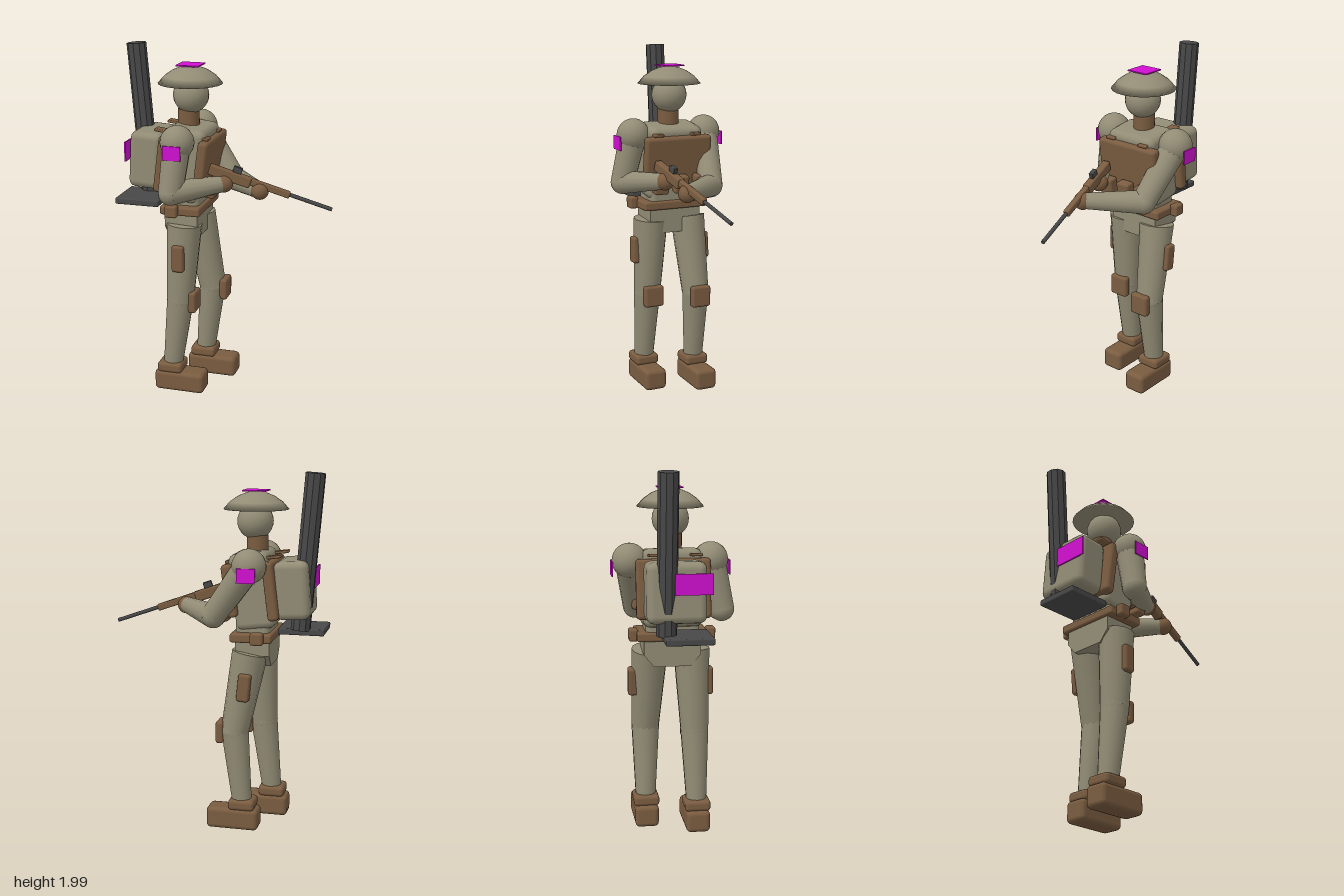
import * as THREE from 'three';
import { RoundedBoxGeometry } from 'three/addons/geometries/RoundedBoxGeometry.js';

const mat = (name, color) => Object.assign(new THREE.MeshStandardMaterial({ color }), { name });

export function createModel() {
  const olive = mat('olive cloth', 0x928c75);
  const brown = mat('brown leather', 0x7a5c40);
  const dark = mat('dark metal', 0x484848);
  const magenta = mat('magenta marker', 0xd010d0);
  const model = new THREE.Group();
  model.name = 'soldier';

  const V = (p) => new THREE.Vector3(...p);
  const add = (name, geo, material, pos = [0, 0, 0], parent = model) => {
    const m = new THREE.Mesh(geo, material);
    m.name = name;
    m.position.set(...pos);
    parent.add(m);
    return m;
  };
  // soft-edged box, optionally leaning about z
  const box = (name, material, size, pos, radius = 0.015, lean = 0, parent = model) => {
    const m = add(name, new RoundedBoxGeometry(...size, 2, radius), material, pos, parent);
    m.rotation.z = lean;
    return m;
  };
  const ball = (name, material, r, pos) => add(name, new THREE.SphereGeometry(r, 20, 14), material, pos);
  // tapered limb segment from a to b
  const limb = (name, material, a, b, ra, rb, sides = 14, parent = model) => {
    const from = V(a), to = V(b), dir = to.clone().sub(from);
    const m = add(name, new THREE.CylinderGeometry(rb, ra, dir.length(), sides), material,
      from.clone().add(to).multiplyScalar(0.5).toArray(), parent);
    m.quaternion.setFromUnitVectors(new THREE.Vector3(0, 1, 0), dir.normalize());
    return m;
  };
  const marker = (name, size, pos) => add(name, new THREE.BoxGeometry(...size), magenta, pos);

  // head and helmet
  const midZ = -0.015, lean = -0.13;
  ball('head', olive, 0.1, [-0.206, 1.73, midZ]);
  add('neck', new THREE.CylinderGeometry(0.06, 0.06, 0.13, 16), brown, [-0.22, 1.59, midZ]);
  const helmetProfile = [[0, 1.8], [0.18, 1.795], [0.145, 1.835], [0.1, 1.866], [0.05, 1.886], [0, 1.892]];
  add('helmet', new THREE.LatheGeometry(helmetProfile.map((p) => new THREE.Vector2(...p)), 24),
    olive, [-0.21, 0, midZ - 0.002]);
  marker('helmetMarker', [0.13, 0.007, 0.13], [-0.21, 1.896, -0.02]);

  // torso, vest plates and shoulder straps
  box('torso', olive, [0.22, 0.42, 0.32], [-0.215, 1.36, midZ], 0.04, lean);
  box('waist', olive, [0.19, 0.16, 0.29], [-0.22, 1.15, midZ], 0.03);
  box('chestPlate', brown, [0.06, 0.29, 0.4], [-0.1, 1.365, midZ], 0.02, lean);
  box('backPlate', brown, [0.06, 0.32, 0.4], [-0.325, 1.37, midZ], 0.02, lean);
  for (const z of [0.105, -0.12])
    box('shoulderStrap', brown, [0.31, 0.016, 0.06], [-0.22, 1.535, z], 0.006, lean);
  for (const z of [0.105, -0.018, -0.14])
    box('chestPouch', brown, [0.06, 0.1, 0.085], [-0.055, 1.24, z], 0.012, lean);

  // belt and pelvis
  box('belt', brown, [0.23, 0.05, 0.39], [-0.22, 1.11, midZ], 0.012);
  for (const z of [0.195, -0.225])
    box('beltPouch', brown, [0.07, 0.068, 0.05], [-0.26, 1.115, z], 0.012);
  const hips = new THREE.Shape([[-0.155, 1.1], [-0.155, 1.01], [-0.1, 0.945], [0.1, 0.945], [0.155, 1.01], [0.155, 1.1]]
    .map((p) => new THREE.Vector2(...p)));
  add('pelvis', new THREE.ExtrudeGeometry(hips, { depth: 0.19, bevelEnabled: false }).rotateY(Math.PI / 2),
    olive, [-0.32, 0, midZ - 0.003]);

  // legs: near leg steps back, far leg steps forward
  const legs = [
    { z: 0.108, out: 1, hip: [-0.215, 1.02, 0.1], knee: [-0.24, 0.57, 0.115], ankle: [-0.29, 0.14, 0.12], boot: -0.238, thigh: -0.225 },
    { z: -0.14, out: -1, hip: [-0.205, 1.02, -0.128], knee: [-0.125, 0.57, -0.145], ankle: [-0.17, 0.14, -0.15], boot: -0.12, thigh: -0.19 },
  ];
  for (const { z, out, hip, knee, ankle, boot, thigh } of legs) {
    limb('thigh', olive, hip, knee, 0.1, 0.078);
    ball('knee', olive, 0.078, knee);
    limb('shin', olive, knee, ankle, 0.078, 0.055);
    box('kneePad', brown, [0.045, 0.125, 0.118], [knee[0] + 0.08, 0.565, z], 0.015);
    box('thighPouch', brown, [0.07, 0.155, 0.06], [thigh, 0.84, midZ + out * 0.203], 0.015, out < 0 ? 0.1 : 0);
    box('boot', brown, [0.295, 0.122, 0.132], [boot, 0.067, ankle[2]], 0.025);
    box('bootCuff', brown, [0.148, 0.06, 0.142], [ankle[0] - 0.003, 0.152, ankle[2]], 0.02);
  }

  // arms
  const arms = [
    { shoulder: [-0.218, 1.51, 0.203], elbow: [-0.24, 1.24, 0.262], hand: [0.02, 1.275, 0.112] },
    { shoulder: [-0.218, 1.51, -0.238], elbow: [-0.01, 1.225, -0.185], hand: [0.21, 1.235, 0.065] },
  ];
  for (const { shoulder, elbow, hand } of arms) {
    ball('shoulder', olive, 0.094, shoulder);
    limb('upperArm', olive, shoulder, elbow, 0.078, 0.068);
    ball('elbow', olive, 0.068, elbow);
    limb('forearm', olive, elbow, hand, 0.068, 0.045);
    ball('hand', brown, 0.05, hand);
  }
  marker('leftArmMarker', [0.1, 0.078, 0.007], [-0.22, 1.47, 0.298]);
  marker('rightArmMarker', [0.1, 0.078, 0.007], [-0.22, 1.47, -0.333]);

  // rifle, laid along local x and aimed forward and down
  const rifle = new THREE.Group();
  rifle.name = 'rifle';
  const butt = V([-0.05, 1.362, 0.12]), muzzle = V([0.6, 1.14, -0.005]);
  rifle.position.copy(butt);
  const ax = muzzle.clone().sub(butt).normalize();
  const side = ax.clone().cross(new THREE.Vector3(0, 1, 0)).normalize();
  rifle.quaternion.setFromRotationMatrix(new THREE.Matrix4().makeBasis(ax, side.clone().cross(ax), side));
  model.add(rifle);
  box('stock', brown, [0.24, 0.06, 0.046], [0.11, -0.01, 0], 0.01, 0, rifle);
  box('foreStock', brown, [0.24, 0.038, 0.034], [0.335, -0.002, 0], 0.008, 0, rifle);
  box('pistolGrip', brown, [0.045, 0.09, 0.034], [0.08, -0.06, 0], 0.008, -0.3, rifle);
  limb('barrel', dark, [0.4, 0, 0], [0.698, 0, 0], 0.011, 0.011, 10, rifle);
  box('rearSight', dark, [0.05, 0.035, 0.026], [0.14, 0.036, 0], 0.004, 0, rifle);

  // backpack with marker
  box('backpack', olive, [0.19, 0.32, 0.315], [-0.435, 1.372, -0.022], 0.04, -0.06);
  marker('backMarker', [0.008, 0.11, 0.2], [-0.537, 1.425, 0.062]);

  // carried launch tube and base plate
  const flatDark = mat('dark metal', 0x484848);
  flatDark.dispose();
  const tube = limb('launchTube', dark, [-0.474, 1.15, -0.073], [-0.542, 1.996, -0.073], 0.055, 0.055, 10);
  tube.geometry = tube.geometry.toNonIndexed();
  tube.geometry.computeVertexNormals();
  box('basePlate', dark, [0.255, 0.036, 0.255], [-0.478, 1.137, 0.034], 0.008);

  return model;
}
